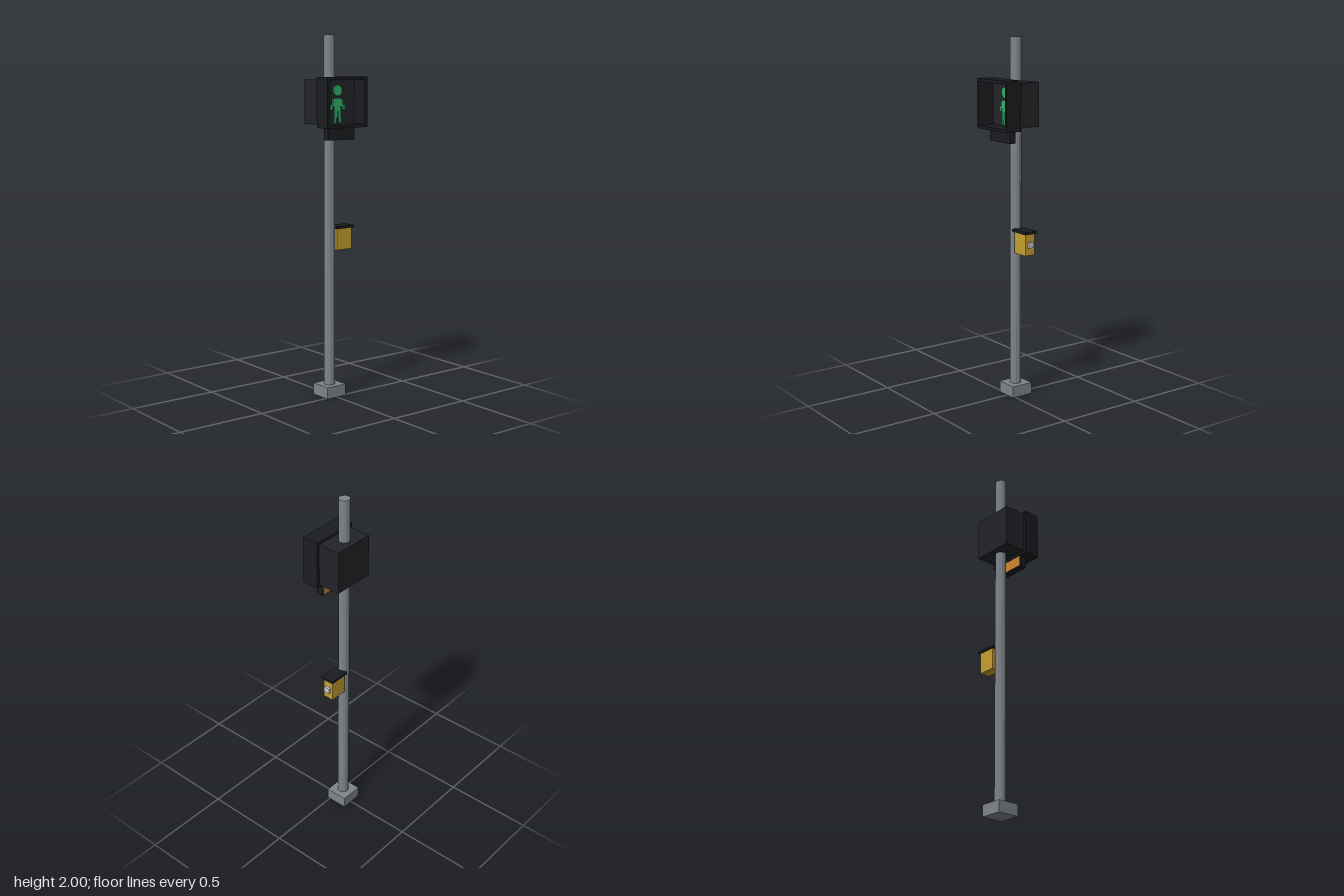
import * as THREE from 'three';

const mat = (color) => new THREE.MeshStandardMaterial({ color, flatShading: true });
const steel = mat(0x80858c), black = mat(0x222428), dark = mat(0x1b1c20);
const yellow = mat(0xc8a030), orange = mat(0xd08a30), green = mat(0x33b06b), grey = mat(0xcccccc);

const PX = -0.004, PZ = -0.049; // pole axis

function add(parent, name, geometry, material) {
  const mesh = new THREE.Mesh(geometry, material);
  mesh.name = name;
  parent.add(mesh);
  return mesh;
}

// Box given by its extents on each axis
function box(parent, name, material, [x0, x1], [y0, y1], [z0, z1]) {
  const mesh = add(parent, name, new THREE.BoxGeometry(x1 - x0, y1 - y0, z1 - z0), material);
  mesh.position.set((x0 + x1) / 2, (y0 + y1) / 2, (z0 + z1) / 2);
  return mesh;
}

function rect(path, w, h) {
  path.moveTo(-w / 2, -h / 2);
  path.lineTo(w / 2, -h / 2);
  path.lineTo(w / 2, h / 2);
  path.lineTo(-w / 2, h / 2);
  path.closePath();
  return path;
}

// Open rectangular frame extruded along z
function frame(parent, name, material, w, h, wall, depth, x, y, z) {
  const shape = rect(new THREE.Shape(), w, h);
  shape.holes.push(rect(new THREE.Path(), w - 2 * wall, h - 2 * wall));
  const geometry = new THREE.ExtrudeGeometry(shape, { depth, bevelEnabled: false });
  add(parent, name, geometry, material).position.set(x, y, z);
}

export function createModel() {
  const model = new THREE.Group();
  model.name = 'pedestrianSignal';

  // Post and footing
  box(model, 'base', steel, [PX - 0.064, PX + 0.064], [0, 0.065], [PZ - 0.064, PZ + 0.064]);
  add(model, 'pole', new THREE.CylinderGeometry(0.031, 0.031, 1.95, 12), steel).position.set(PX, 1.025, PZ);

  // Signal head with a deep open hood
  const head = new THREE.Group();
  head.name = 'signalHead';
  model.add(head);
  box(head, 'housing', black, [PX - 0.12, PX + 0.12], [1.523, 1.762], [-0.113, 0.018]);
  frame(head, 'hood', dark, 0.271, 0.27, 0.016, 0.095, PX, 1.642, 0.016);

  // Countdown box below, with a lit panel on its back
  box(head, 'lowerBox', dark, [PX - 0.091, PX + 0.091], [1.44, 1.507], [0.021, 0.058]);
  box(head, 'lowerPanel', orange, [PX - 0.084, PX + 0.084], [1.446, 1.506], [0.018, 0.022]);

  // Walking figure on the lit face
  const figure = new THREE.Group();
  figure.name = 'walkingFigure';
  figure.position.x = PX;
  head.add(figure);
  const z = [0.016, 0.026];
  const face = add(figure, 'figureHead', new THREE.CylinderGeometry(0.03, 0.03, 0.01, 12), green);
  face.rotation.x = Math.PI / 2;
  face.position.set(0, 1.704, 0.021);
  box(figure, 'torso', green, [-0.022, 0.022], [1.595, 1.663], z);
  for (const s of [-1, 1]) {
    const part = (name, a, b, y) => box(figure, name, green, s < 0 ? [-b, -a] : [a, b], y, z);
    part('upperArm', 0.022, 0.035, [1.618, 1.658]);
    part('forearm', 0.035, 0.049, [1.6, 1.627]);
    part('thigh', 0.004, 0.022, [1.558, 1.597]);
    part('shin', 0.009, 0.025, [1.528, 1.56]);
  }

  // Push button unit on the left of the pole
  const unit = new THREE.Group();
  unit.name = 'buttonUnit';
  model.add(unit);
  box(unit, 'buttonBox', yellow, [0.026, 0.126], [0.825, 0.946], [-0.08, -0.018]);
  box(unit, 'buttonCap', dark, [0.016, 0.137], [0.944, 0.958], [-0.089, -0.01]);
  box(unit, 'button', grey, [0.124, 0.14], [0.868, 0.9], [-0.067, -0.032]);

  return model;
}
